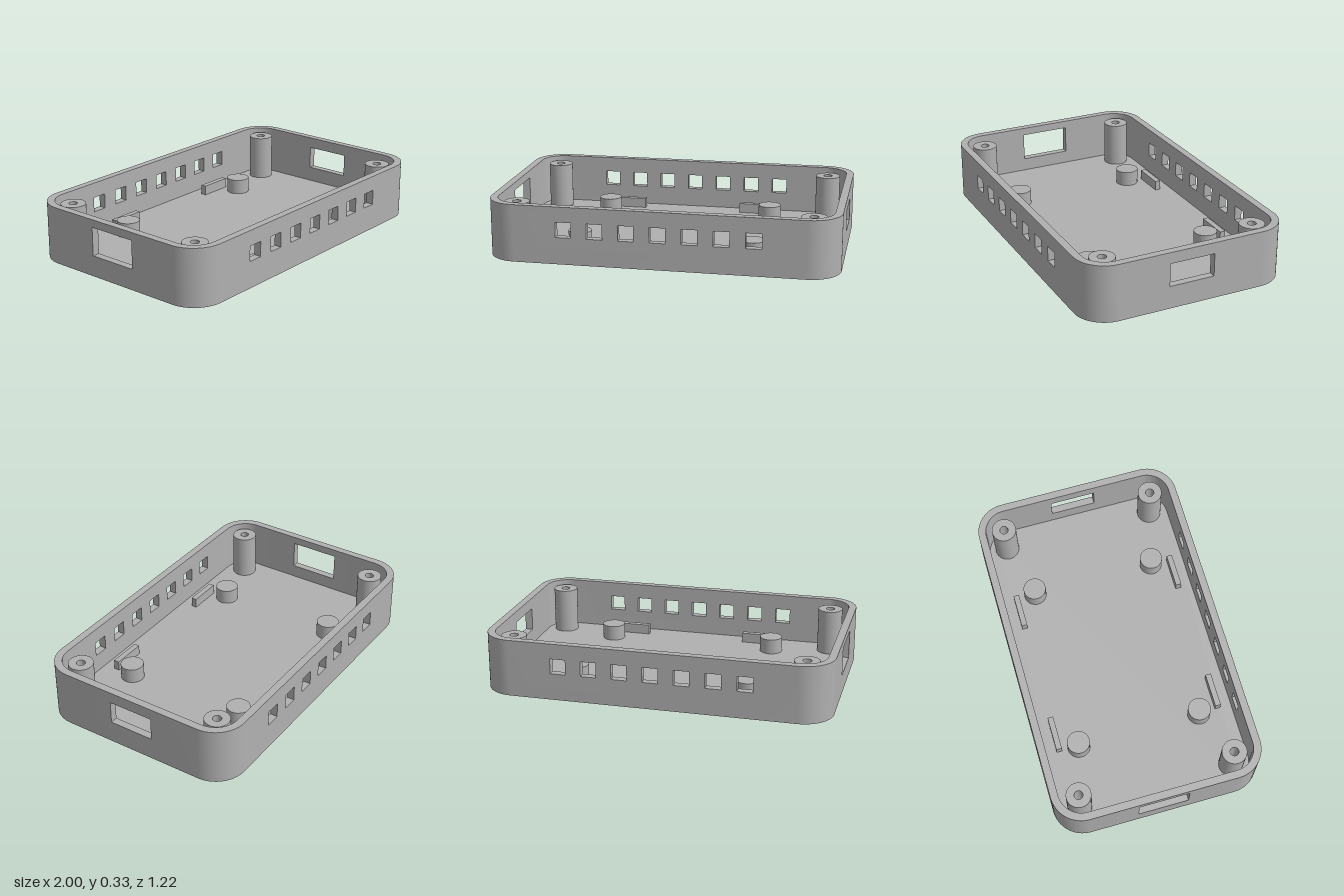
import * as THREE from 'three';
import { mergeGeometries, toCreasedNormals } from 'three/addons/utils/BufferGeometryUtils.js';

const HX = 1, HZ = 0.611, H = 0.333, R = 0.178, WALL = 0.044, FLOOR = 0.044;

// Rounded rectangle, counter-clockwise, as points of the plan (x, -z)
function outline(inset) {
  const pts = [], n = 16, r = R - inset;
  [[1, 1], [-1, 1], [-1, -1], [1, -1]].forEach(([sx, sy], c) => {
    for (let k = 0; k <= n; k++) {
      const a = (c + k / n) * Math.PI / 2;
      pts.push(new THREE.Vector2(sx * (HX - R) + r * Math.cos(a), sy * (HZ - R) + r * Math.sin(a)));
    }
  });
  return pts;
}

// Cut-outs of one straight wall: centre along the wall, width, bottom, top
function cutouts(p, q) {
  if (p.distanceTo(q) < 0.5) return [];
  if (Math.abs(p.y - q.y) < 0.01) {
    return [-3, -2, -1, 0, 1, 2, 3].map(i => [i * 0.1778, 0.089, 0.156, 0.244]);
  }
  return p.x > 0 ? [[0, 0.267, 0.133, 0.267]] : [[0, 0.294, 0.122, 0.287]];
}

// Upright panels along a closed outline, facing to the right of its direction
function wallSkin(pts, y0, withReveals) {
  const out = [];
  pts.forEach((p, i) => {
    const q = pts[(i + 1) % pts.length], len = p.distanceTo(q);
    const shape = new THREE.Shape();
    shape.moveTo(-len / 2, y0).lineTo(len / 2, y0).lineTo(len / 2, H).lineTo(-len / 2, H).closePath();
    const parts = [];
    for (const [u, w, b, t] of cutouts(p, q)) {
      const hole = new THREE.Path();
      hole.moveTo(u - w / 2, b).lineTo(u - w / 2, t).lineTo(u + w / 2, t).lineTo(u + w / 2, b).closePath();
      shape.holes.push(hole);
      if (!withReveals) continue;
      // The four faces through the thickness of the wall
      const z = -WALL / 2, mid = (b + t) / 2, turn = Math.PI / 2;
      parts.push(
        new THREE.PlaneGeometry(w, WALL).rotateX(-turn).translate(u, b, z),
        new THREE.PlaneGeometry(w, WALL).rotateX(turn).translate(u, t, z),
        new THREE.PlaneGeometry(WALL, t - b).rotateY(turn).translate(u - w / 2, mid, z),
        new THREE.PlaneGeometry(WALL, t - b).rotateY(-turn).translate(u + w / 2, mid, z));
    }
    parts.push(new THREE.ShapeGeometry(shape));
    const angle = Math.atan2(q.y - p.y, q.x - p.x);
    for (const g of parts) out.push(g.rotateY(angle).translate((p.x + q.x) / 2, 0, -(p.y + q.y) / 2));
  });
  return out;
}

export function createModel() {
  const group = new THREE.Group();
  const grey = new THREE.MeshStandardMaterial({ color: 0xb0b0b0 });
  grey.name = 'grey plastic';
  const add = (name, geometry, x = 0, y = 0, z = 0) => {
    const mesh = new THREE.Mesh(geometry, grey);
    mesh.name = name;
    mesh.position.set(x, y, z);
    group.add(mesh);
  };

  // Open tray: outer and inner walls, rim, floor and underside
  const outer = outline(0), inner = outline(WALL);
  const rim = new THREE.Shape(outer);
  rim.holes.push(new THREE.Path(inner));
  const flat = Math.PI / 2;
  const tray = mergeGeometries([
    ...wallSkin(outer, 0, true),
    ...wallSkin([...inner].reverse(), FLOOR, false),
    new THREE.ShapeGeometry(rim).rotateX(-flat).translate(0, H, 0),
    new THREE.ShapeGeometry(new THREE.Shape(inner)).rotateX(-flat).translate(0, FLOOR, 0),
    new THREE.ShapeGeometry(new THREE.Shape(outer)).rotateX(flat),
  ]);
  add('tray', toCreasedNormals(tray, 0.5));

  // Screw post with a bore down to the floor
  const postTop = 0.311 - FLOOR;
  const profile = [[0.072, 0], [0.072, postTop], [0.025, postTop], [0.025, 0]].map(p => new THREE.Vector2(...p));
  const post = toCreasedNormals(new THREE.LatheGeometry(profile, 40), 0.5);
  const peg = new THREE.CylinderGeometry(0.067, 0.067, 0.089, 40);
  const rib = new THREE.BoxGeometry(0.2, 0.058, 0.033);

  for (const sx of [-1, 1]) {
    for (const sz of [-1, 1]) {
      add('screwPost', post, sx * 0.844, FLOOR, sz * 0.456);
      add('supportPeg', peg, sx * 0.5, FLOOR + 0.0445, sz * 0.367);
      add('locatingRib', rib, sx * 0.4, FLOOR + 0.029, sz * 0.484);
    }
  }
  return group;
}
